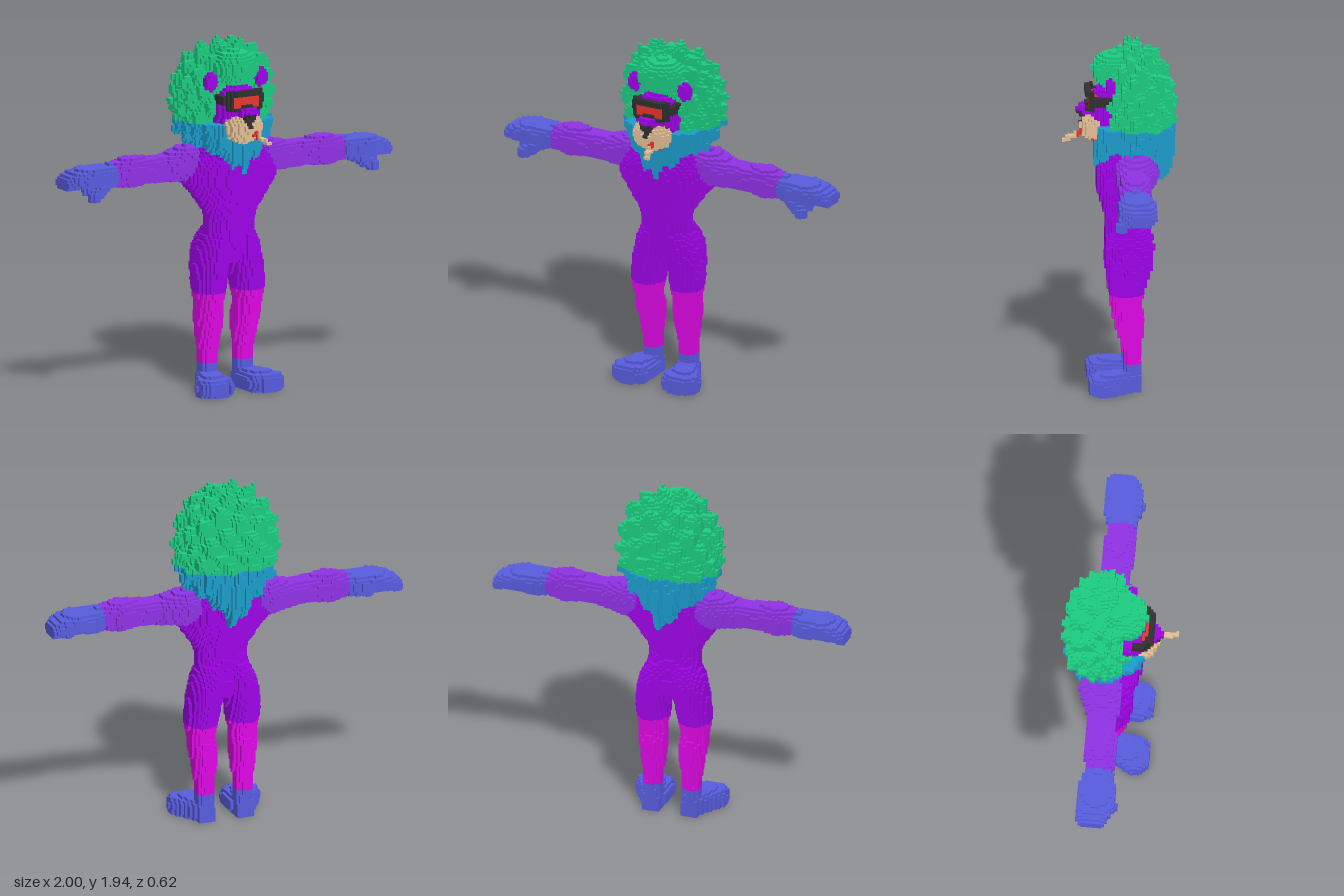
import * as THREE from 'three';

const S = 2 / 128; // edge of one cube

const colours = {
  purple: 0xa004ea, violet: 0x9032e6, magenta: 0xde08e4, blue: 0x585cde, green: 0x1ccc80,
  teal: 0x1c9ccc, tan: 0xe4c096, black: 0x303030, red: 0xf43a30,
};

// ---- solid helpers: each returns a test (x, y, z) => inside ----
const ellipsoid = (cx, cy, cz, rx, ry, rz) => (x, y, z) =>
  ((x - cx) / rx) ** 2 + ((y - cy) / ry) ** 2 + ((z - cz) / rz) ** 2 < 1;

const capsule = (a, b, r) => {
  const line = new THREE.Line3(new THREE.Vector3(...a), new THREE.Vector3(...b));
  const p = new THREE.Vector3(), q = new THREE.Vector3();
  return (x, y, z) => line.closestPointToPoint(p.set(x, y, z), true, q).distanceTo(p) < r;
};

// Rows are [t, centreA, centreB, radiusA, radiusB] along an axis t.
function loft(rows, power = 2) {
  return (t, a, b) => {
    if (t < rows[0][0] || t > rows[rows.length - 1][0]) return false;
    let i = 1;
    while (t > rows[i][0]) i++;
    const k = (t - rows[i - 1][0]) / (rows[i][0] - rows[i - 1][0]);
    const v = (n) => rows[i - 1][n] + (rows[i][n] - rows[i - 1][n]) * k;
    return Math.abs((a - v(1)) / v(3)) ** power + Math.abs((b - v(2)) / v(4)) ** power < 1;
  };
}

// ---- body sections ----
const torso = loft([ // by y: centre x, z, radius x, z
  [0.7, 0, -0.04, 0.1, 0.07], [0.78, 0, -0.045, 0.16, 0.115], [0.86, 0, -0.03, 0.14, 0.105],
  [0.95, 0, -0.015, 0.138, 0.095], [1.0, 0, -0.01, 0.155, 0.1], [1.1, 0, -0.02, 0.225, 0.14],
  [1.17, 0, -0.035, 0.28, 0.16], [1.25, 0, -0.04, 0.26, 0.16], [1.33, 0, -0.05, 0.2, 0.13],
  [1.4, 0, -0.05, 0.1, 0.08]], 2.2);
const leg = loft([
  [0, 0.11, -0.06, 0.05, 0.05], [0.2, 0.11, -0.06, 0.05, 0.046], [0.3, 0.11, -0.055, 0.062, 0.062],
  [0.36, 0.11, -0.05, 0.07, 0.08], [0.42, 0.115, -0.042, 0.072, 0.085], [0.48, 0.12, -0.03, 0.07, 0.08],
  [0.55, 0.118, -0.03, 0.085, 0.092], [0.62, 0.115, -0.038, 0.09, 0.108], [0.7, 0.105, -0.048, 0.09, 0.126],
  [0.8, 0.088, -0.052, 0.09, 0.13], [0.84, 0.078, -0.045, 0.08, 0.12], [0.89, 0.065, -0.035, 0.07, 0.1]]);
const foot = loft([ // by z: centre x, y, radius x, y
  [-0.115, 0.11, 0.045, 0.042, 0.055], [-0.05, 0.115, 0.05, 0.06, 0.07], [0, 0.13, 0.045, 0.08, 0.064],
  [0.08, 0.154, 0.045, 0.105, 0.06], [0.13, 0.156, 0.045, 0.1, 0.054], [0.165, 0.152, 0.045, 0.07, 0.04]], 3);
const arm = loft([ // by x: centre y, z, radius y, z
  [0.17, 1.25, -0.075, 0.09, 0.11], [0.24, 1.255, -0.08, 0.098, 0.118], [0.32, 1.25, -0.07, 0.08, 0.1],
  [0.4, 1.245, -0.06, 0.068, 0.08], [0.5, 1.25, -0.055, 0.07, 0.08], [0.6, 1.25, -0.055, 0.085, 0.086],
  [0.71, 1.245, -0.05, 0.06, 0.072]], 2.2);
const hand = loft([
  [0.7, 1.245, -0.05, 0.062, 0.075], [0.78, 1.24, -0.055, 0.062, 0.098], [0.86, 1.25, -0.055, 0.052, 0.106],
  [0.94, 1.238, -0.06, 0.046, 0.095], [0.98, 1.225, -0.07, 0.038, 0.078], [1.0, 1.218, -0.075, 0.03, 0.06]], 2.5);
const thumb = capsule([0.76, 1.21, 0], [0.86, 1.148, 0.03], 0.031);
const curledFinger = capsule([0.8, 1.21, -0.02], [0.88, 1.18, -0.01], 0.025);

// ---- mane: a blunt ellipsoid pushed out into evenly spread tufts ----
const tufts = Array.from({ length: 90 }, (_, i) => {
  const y = 1 - (2 * i + 1) / 90, r = Math.sqrt(1 - y * y), a = i * 2.39996;
  return new THREE.Vector3(r * Math.cos(a), y, r * Math.sin(a));
});
const dir = new THREE.Vector3();
function maneBall(x, y, z) {
  const back = z < -0.08;
  const slope = y > 1.6 ? 0.25 * Math.max(0, -0.05 - z) : 0;
  const u = x / 0.255, v = (y - 1.595 + slope) / 0.285, w = (z + 0.08) / (back ? 0.2 : 0.14);
  const f = Math.abs(u) ** 2.5 + Math.abs(v) ** 2.2 + Math.abs(w) ** (back ? 2.7 : 2);
  if (f < 0.86) return true;
  if (f > 1.7) return false;
  dir.set(u, v, w).normalize();
  let near = -1;
  for (const t of tufts) near = Math.max(near, t.dot(dir));
  return f < 0.86 + 0.72 * Math.max(0, 1 - Math.acos(Math.min(1, near)) / 0.23);
}
const foreheadTuft = ellipsoid(0, 1.775, 0.035, 0.13, 0.095, 0.115);
const ruffLoft = loft([
  [1.18, 0, -0.075, 0.03, 0.17], [1.25, 0, -0.07, 0.08, 0.2], [1.32, 0, -0.07, 0.15, 0.208],
  [1.38, 0, -0.07, 0.2, 0.21], [1.5, 0, -0.07, 0.245, 0.21]], 2.8);
const ruff = (x, y, z) => {
  const a = Math.atan2(z + 0.07, x);
  const k = 1 + 0.05 * Math.sin(a * 17 + y * 9);
  return ruffLoft(Math.min(1.5, y + 0.02 * Math.sin(x * 75)), x * k, z * k);
};

// ---- face ----
const skull = ellipsoid(0, 1.55, 0.05, 0.128, 0.15, 0.12);
const bridge = ellipsoid(0, 1.55, 0.15, 0.055, 0.055, 0.082);
const muzzle = ellipsoid(0, 1.465, 0.13, 0.108, 0.085, 0.085);
const ear = ellipsoid(0.155, 1.715, 0.055, 0.038, 0.052, 0.027);
const goggleRadius = (x, z) => Math.cbrt(Math.abs(x / 0.125) ** 3 + Math.abs((z - 0.06) / 0.125) ** 3);
const inWindow = (x, y) => Math.abs(x) < 0.08 && y < 1.64 && y > (Math.abs(x) < 0.03 ? 1.595 : 1.58);
const goggleFrame = (x, y, z) => {
  const r = goggleRadius(x, z);
  if (z < 0.04 || r < 0.8 || r > 1.03) return false;
  return z > 0.145 ? y > 1.565 && y < 1.67 && !inWindow(x, y) : y > 1.6 && y < 1.64;
};
const stick = capsule([0.03, 1.44, 0.19], [0.06, 1.4, 0.305], 0.013);

// Parts in order of priority; paired ones are tested on one side and mirrored.
const parts = [
  { name: 'cigarBand', mat: 'red', at: (x, y, z) => z < 0.235 && z > 0.2 && stick(x, y, z) },
  { name: 'cigar', mat: 'tan', at: stick },
  { name: 'mouthCorner', mat: 'red', at: (x, y, z) => x > 0.045 && x < 0.07 && y > 1.385 && y < 1.4 && z > 0.1 && muzzle(x, y, z) },
  { name: 'goggleFrame', mat: 'black', at: goggleFrame },
  { name: 'goggleLens', mat: 'red', at: (x, y, z) => z > 0.13 && inWindow(x, y) && goggleRadius(x, z) < 0.93 },
  { name: 'nose', mat: 'black', at: (x, y, z) => z > 0.17 && y > 1.47 && y < 1.55 && Math.abs(x) < 0.01 + 0.4 * (y - 1.47) &&
    (muzzle(x, y, z) || bridge(x, y, z)) },
  { name: 'muzzle', mat: 'tan', at: (x, y, z) => z > 0.08 && y < 1.535 && muzzle(x, y, z) },
  { name: 'face', mat: 'purple', at: (x, y, z) => skull(x, y, z) || (y < 1.58 && bridge(x, y, z)) },
  { name: 'Ear', mat: 'purple', pair: true, at: ear },
  { name: 'mane', mat: 'green', at: (x, y, z) => y > 1.48 && (maneBall(x, y, z) || foreheadTuft(x, y, z)) },
  { name: 'ruff', mat: 'teal', at: (x, y, z) => y <= 1.48 && (ruff(x, y, z) || maneBall(x, y, z)) },
  { name: 'Hand', mat: 'blue', pair: true, at: (x, y, z) => x > 0.71 &&
    (thumb(x, y, z) || curledFinger(x, y, z) || hand(x, y, z)) },
  { name: 'Arm', mat: 'violet', pair: true, at: (x, y, z) => x > 0.17 && y > 1.41 - x && arm(x, y, z) },
  { name: 'Foot', mat: 'blue', pair: true, at: (x, y, z) => (y < 0.15 && leg(y, x, z)) ||
    (foot(z, x, y) && !(z > 0.14 && Math.abs(Math.sin((x - 0.156) * 62)) < 0.25)) },
  { name: 'Shin', mat: 'magenta', pair: true, at: (x, y, z) => y < 0.55 && leg(y, x, z) },
  { name: 'Thigh', mat: 'purple', pair: true, at: (x, y, z) => leg(y, x, z) },
  { name: 'torso', mat: 'purple', at: (x, y, z) => torso(y, x, z) },
];

export function createModel() {
  const model = new THREE.Group();
  model.name = 'lionFigure';
  const materials = {};
  for (const [name, color] of Object.entries(colours)) {
    materials[name] = new THREE.MeshStandardMaterial({ color });
    materials[name].name = name;
  }

  // Fill the grid with part numbers
  const NX = 132, NY = 126, NZ = 46, OX = 66, OZ = 23;
  const grid = new Uint8Array(NX * NY * NZ);
  const id = (i, j, k) => (j < 0 ? 0 : (i * NY + j) * NZ + k);
  for (let i = 1; i < NX - 1; i++) for (let j = 0; j < NY - 1; j++) for (let k = 1; k < NZ - 1; k++) {
    const x = (i - OX + 0.5) * S, y = (j + 0.5) * S, z = (k - OZ + 0.5) * S;
    grid[id(i, j, k)] = 1 + parts.findIndex((p) => p.at(p.pair ? Math.abs(x) : x, y, z));
  }

  // Draw every cube face that touches empty space
  const meshes = {};
  for (let i = 1; i < NX - 1; i++) for (let j = 0; j < NY - 1; j++) for (let k = 1; k < NZ - 1; k++) {
    const n = grid[id(i, j, k)];
    if (!n) continue;
    const part = parts[n - 1];
    const name = part.pair ? (i >= OX ? 'left' : 'right') + part.name : part.name;
    const m = (meshes[name] ??= { mat: part.mat, pos: [], nor: [], idx: [] });
    const c = [i - OX + 0.5, j + 0.5, k - OZ + 0.5];
    for (let axis = 0; axis < 3; axis++) for (const side of [-1, 1]) {
      const d = [0, 0, 0];
      d[axis] = side;
      if (j + d[1] >= 0 && grid[id(i + d[0], j + d[1], k + d[2])]) continue;
      const base = m.pos.length / 3;
      for (const [a, b] of [[-1, -1], [1, -1], [1, 1], [-1, 1]]) {
        const p = [...c];
        p[axis] += side / 2;
        p[(axis + 1) % 3] += (a * side) / 2;
        p[(axis + 2) % 3] += b / 2;
        m.pos.push(p[0] * S, p[1] * S, p[2] * S);
        m.nor.push(...d);
      }
      m.idx.push(base, base + 1, base + 2, base, base + 2, base + 3);
    }
  }
  for (const [name, m] of Object.entries(meshes)) {
    if (!m.idx.length) continue;
    const g = new THREE.BufferGeometry();
    g.setAttribute('position', new THREE.Float32BufferAttribute(m.pos, 3));
    g.setAttribute('normal', new THREE.Float32BufferAttribute(m.nor, 3));
    g.setIndex(m.idx);
    const mesh = new THREE.Mesh(g, materials[m.mat]);
    mesh.name = name;
    model.add(mesh);
  }
  return model;
}
